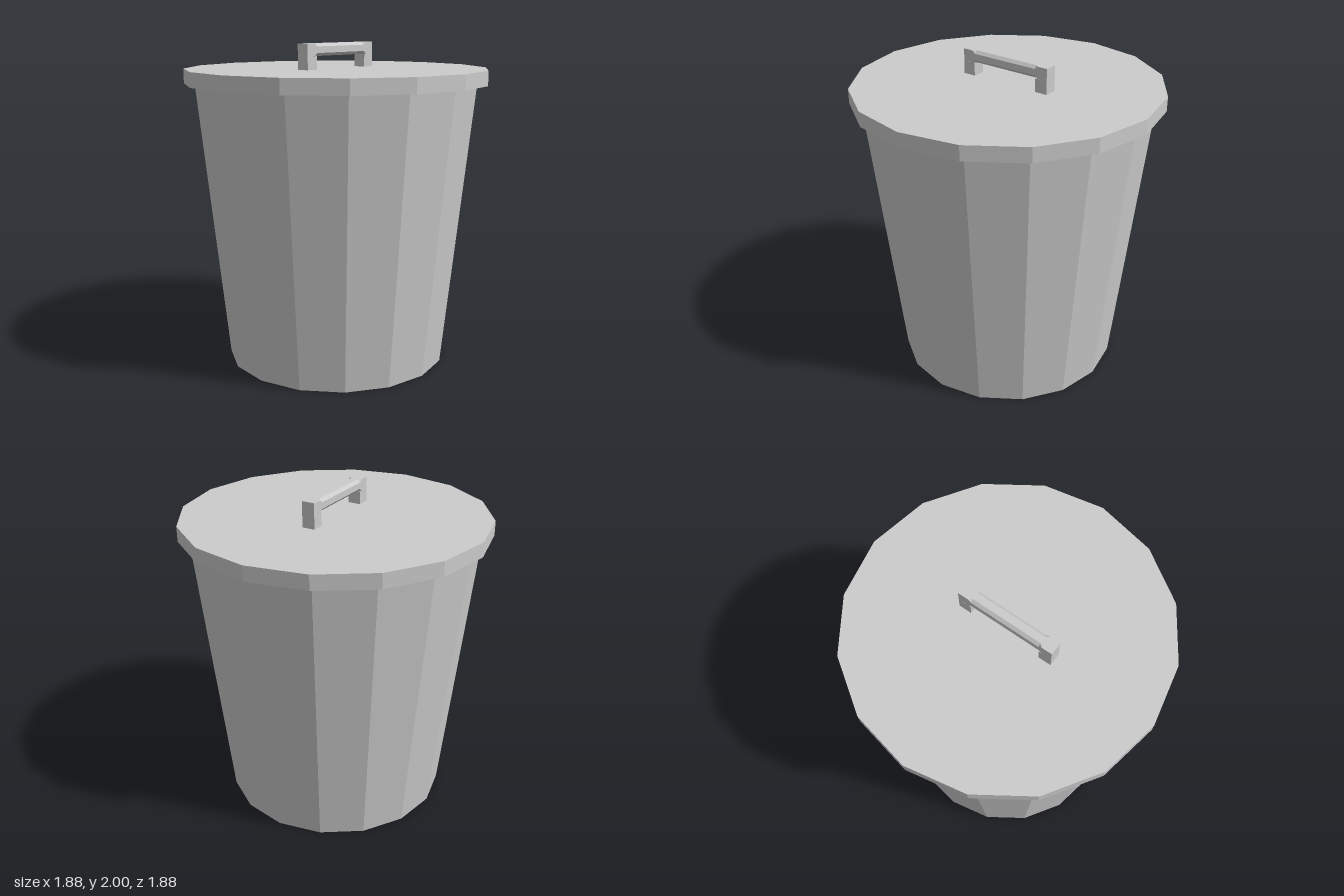
import * as THREE from 'three';

const material = new THREE.MeshStandardMaterial({ color: 0xcccccc, flatShading: true });
const SIDES = 16;

function addMesh(parent, name, geometry, x = 0, y = 0, z = 0) {
  const mesh = new THREE.Mesh(geometry, material);
  mesh.name = name;
  mesh.position.set(x, y, z);
  parent.add(mesh);
  return mesh;
}

// Bar along x with rectangular sections whose four corners are cut by a chamfer.
// stations: [x, chamfer] from -x to +x
function chamferedBar(h, w, stations) {
  const pos = [], index = [];
  for (const [x, c] of stations) {
    const ring = [
      [h, w - c], [h - c, w], [c - h, w], [-h, w - c],
      [-h, c - w], [c - h, -w], [h - c, -w], [h, c - w],
    ];
    for (const [y, z] of ring) pos.push(x, y, z);
  }
  const last = (stations.length - 1) * 8;
  for (let s = 0; s < last; s += 8) {
    for (let i = 0; i < 8; i++) {
      const a = s + i, b = s + (i + 1) % 8;
      index.push(a, b, b + 8, a, b + 8, a + 8);
    }
  }
  // End caps
  for (let i = 1; i < 7; i++) {
    index.push(0, i + 1, i, last, last + i, last + i + 1);
  }
  const geometry = new THREE.BufferGeometry();
  geometry.setAttribute('position', new THREE.Float32BufferAttribute(pos, 3));
  geometry.setIndex(index);
  const flat = geometry.toNonIndexed();
  flat.computeVertexNormals();
  return flat;
}

export function createModel() {
  const model = new THREE.Group();
  model.name = 'trashCan';

  // Tapered bin body, closed at the bottom
  const bodyHeight = 1.755;
  addMesh(model, 'body', new THREE.CylinderGeometry(0.875, 0.695, bodyHeight, SIDES), 0, bodyHeight / 2);

  // Flat overhanging lid
  const lidHeight = 0.09;
  const lidTop = bodyHeight + lidHeight;
  addMesh(model, 'lid', new THREE.CylinderGeometry(0.94, 0.94, lidHeight, SIDES), 0, bodyHeight + lidHeight / 2);

  // Handle: square posts joined by a grip with chamfered edges
  const handle = new THREE.Group();
  handle.name = 'handle';
  model.add(handle);
  const gripBottom = 1.925, top = 2, halfWidth = 0.04;
  for (const side of [-1, 1]) {
    addMesh(handle, side > 0 ? 'leftHandlePost' : 'rightHandlePost',
      new THREE.BoxGeometry(0.08, gripBottom - lidTop, halfWidth * 2),
      side * 0.265, (lidTop + gripBottom) / 2);
  }
  const sharp = 0.0005, cut = 0.018;
  const stations = [[-0.305, sharp], [-0.24, sharp], [-0.22, cut], [0.22, cut], [0.24, sharp], [0.305, sharp]];
  addMesh(handle, 'handleGrip', chamferedBar((top - gripBottom) / 2, halfWidth, stations), 0, (top + gripBottom) / 2);

  return model;
}
